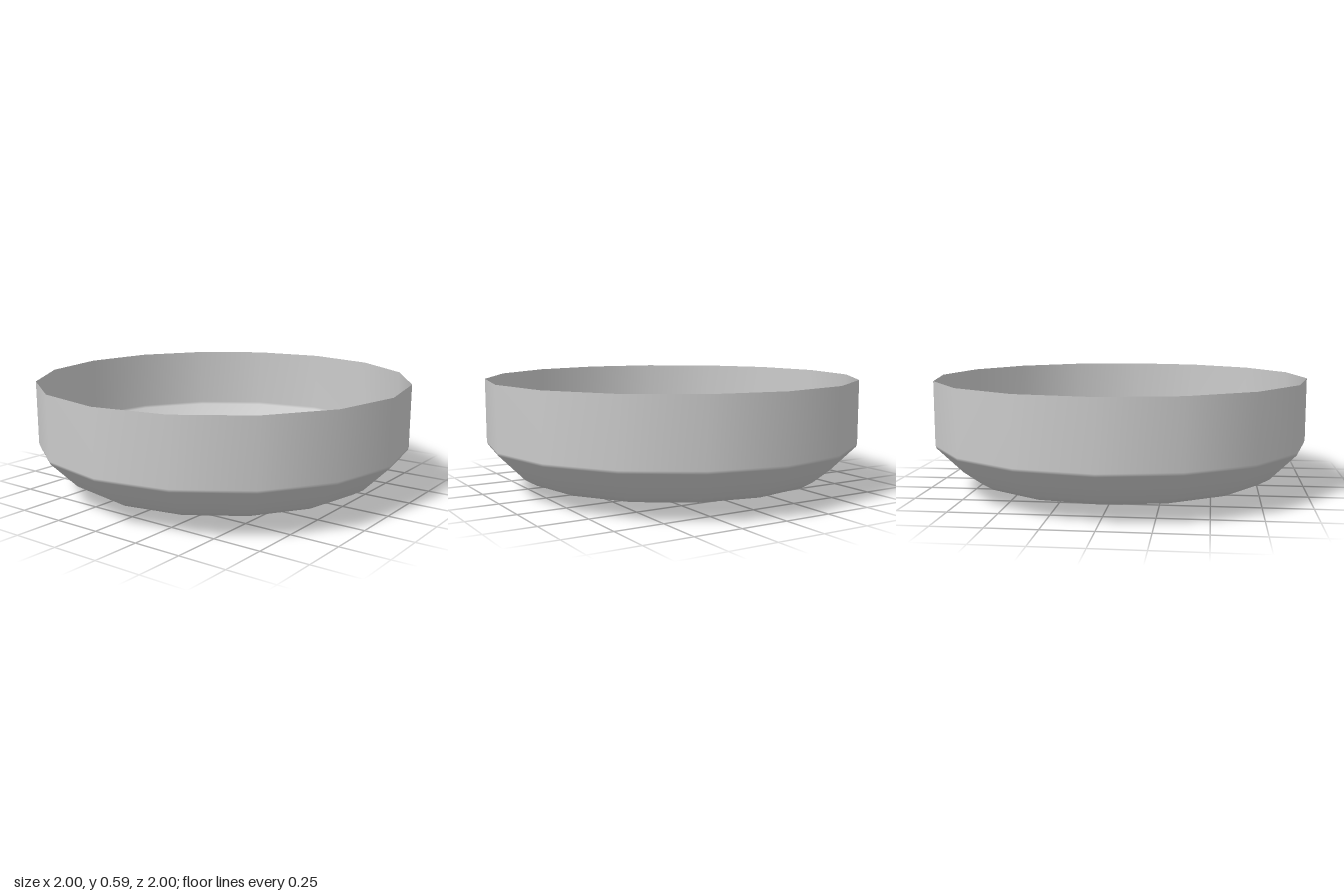
import * as THREE from 'three';

const SIDES = 16;

// Thin open shell turned around the y axis from [radius, height] pairs
function turned(name, profile, material) {
  const points = profile.map(([r, y]) => new THREE.Vector2(r, y));
  const mesh = new THREE.Mesh(new THREE.LatheGeometry(points, SIDES), material);
  mesh.name = name;
  return mesh;
}

export function createModel() {
  const group = new THREE.Group();
  group.name = 'basin';
  const material = new THREE.MeshStandardMaterial({ color: 0xcccccc, side: THREE.DoubleSide });

  // Basin: nearly flat floor, sloping shoulder and upright wall
  group.add(turned('basinShell', [
    [0.1, 0.05], [0.115, 0.056], [0.2, 0.058], [0.45, 0.06], [0.68, 0.063],
    [0.8, 0.07], [0.86, 0.105], [0.92, 0.165], [0.995, 0.24],
    [1, 0.255], [1, 0.59],
  ], material));

  // Drain: short cup below the floor with a round outlet
  group.add(turned('drainCup', [
    [0.048, 0], [0.085, 0.001], [0.096, 0.006], [0.1, 0.018], [0.1, 0.05],
  ], material));

  return group;
}
